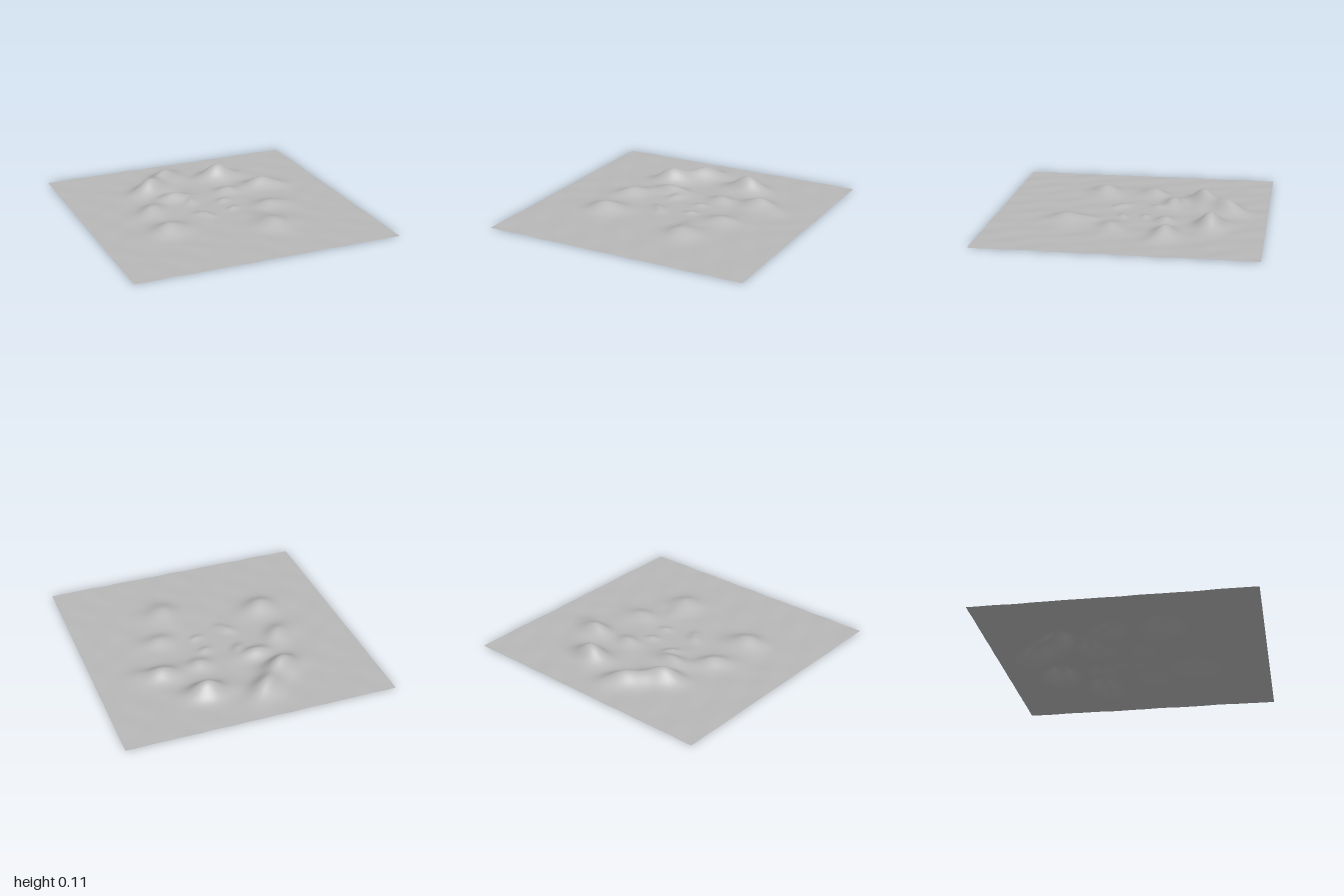
import * as THREE from 'three';

// Each hill: centre x, centre z, height, spread along, spread across, turn of the long axis (radians)
const HILLS = [
  [0.28, -0.60, 0.108, 0.095, 0.065, 0],
  [-0.33, -0.50, 0.103, 0.095, 0.065, 0.45],
  [-0.14, -0.69, 0.085, 0.105, 0.065, 0.7],
  [0.52, -0.30, 0.073, 0.085, 0.060, 0],
  [-0.47, 0.28, 0.064, 0.095, 0.075, 0.45],
  [0.27, 0.45, 0.050, 0.090, 0.085, 0],
  [0.41, 0.10, 0.040, 0.080, 0.060, 0.2],
  [-0.21, -0.28, 0.055, 0.085, 0.050, 0],
  [-0.46, -0.10, 0.052, 0.095, 0.060, 0.8],
  [0.22, -0.27, 0.040, 0.065, 0.050, 0],
  [0.67, -0.24, 0.012, 0.060, 0.050, 0],
  [0.24, 0.28, 0.014, 0.050, 0.070, 0],
];

// Low mounds around the flat clearing in the middle
const MOUNDS = [
  [-0.12, -0.17, 0.022, 0.045, 0.030, 0.9],
  [0.12, -0.11, 0.018, 0.035, 0.025, 0.3],
  [-0.13, 0.08, 0.018, 0.045, 0.028, -0.5],
  [0.13, 0.06, 0.016, 0.035, 0.022, 0.3],
  [-0.09, 0.14, 0.012, 0.035, 0.025, -0.6],
];

function bump(x, z, [cx, cz, height, along, across, turn]) {
  const dx = x - cx, dz = z - cz;
  const c = Math.cos(turn), s = Math.sin(turn);
  const u = (dx * c - dz * s) / along;
  const v = (dx * s + dz * c) / across;
  return height * Math.exp(-(u * u + v * v) / 2);
}

// Gentle ground ripple, fading out in the clearing
function ripple(x, z) {
  const fade = 1 - Math.exp(-(x * x + z * z) / 0.03);
  return fade * (0.0018 * Math.sin(17 * x + 2 * Math.sin(5 * z)) * Math.cos(15 * z + 1.3)
    + 0.0012 * Math.sin(27 * x - 11 * z));
}

function groundHeight(x, z) {
  let y = 0.008 + ripple(x, z);
  for (const hill of HILLS) y += bump(x, z, hill);
  for (const mound of MOUNDS) y += bump(x, z, mound);
  return Math.max(0, y);
}

export function createModel() {
  const group = new THREE.Group();
  group.name = 'terrain';

  const stone = new THREE.MeshStandardMaterial({ color: 0xb8b8b8, side: THREE.DoubleSide });
  stone.name = 'stone grey';

  // Flat sheet raised into a ring of hills
  const sheet = new THREE.PlaneGeometry(2, 2, 140, 140);
  sheet.rotateX(-Math.PI / 2);
  const pos = sheet.attributes.position;
  for (let i = 0; i < pos.count; i++) {
    pos.setY(i, groundHeight(pos.getX(i), pos.getZ(i)));
  }
  // Rest the lowest point on the floor
  sheet.computeBoundingBox();
  sheet.translate(0, -sheet.boundingBox.min.y, 0);
  sheet.computeVertexNormals();

  const ground = new THREE.Mesh(sheet, stone);
  ground.name = 'hillyGround';
  group.add(ground);
  return group;
}
